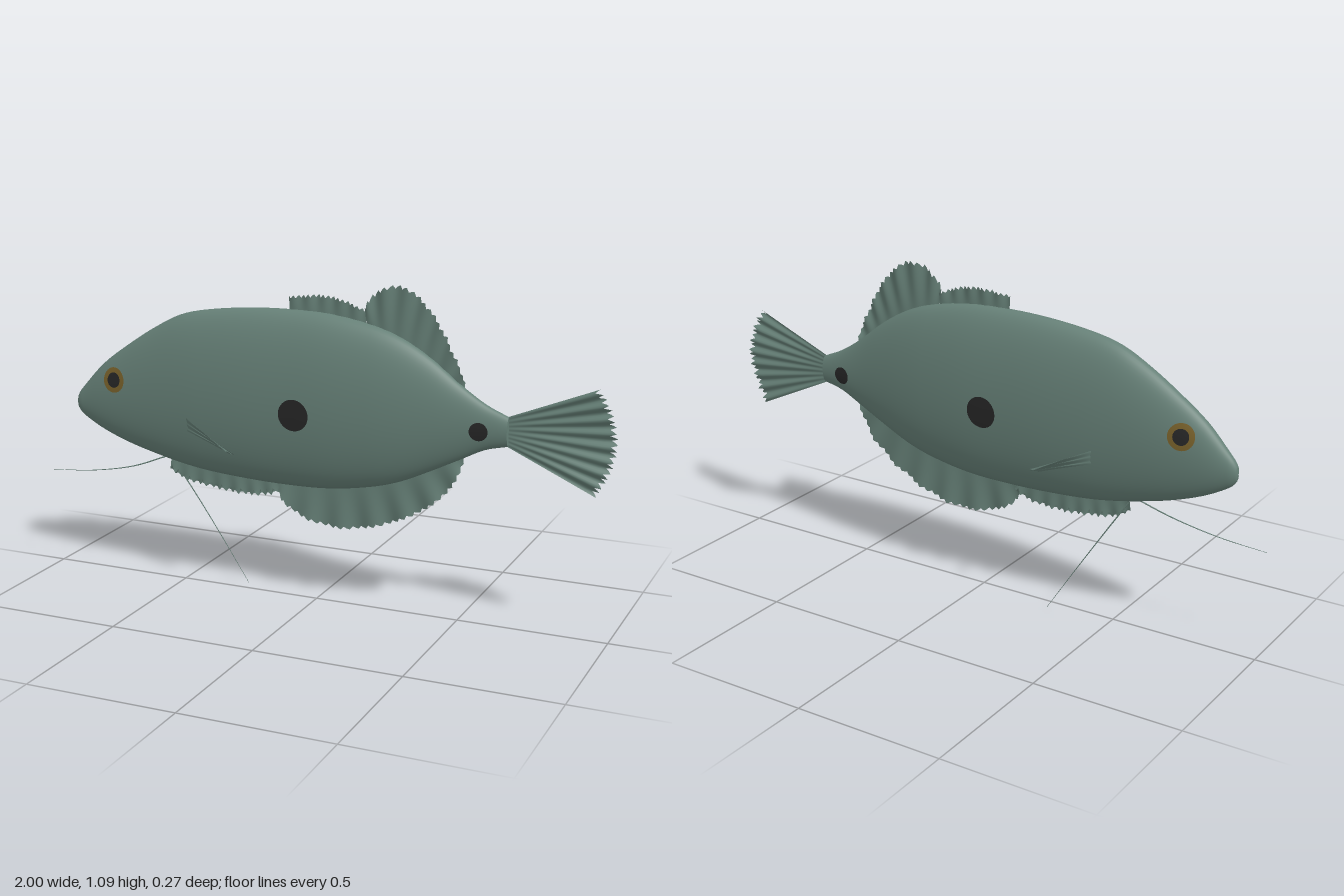
import * as THREE from 'three';

const mat = (name, color, side = THREE.FrontSide) => {
  const m = new THREE.MeshStandardMaterial({ color, side });
  m.name = name;
  return m;
};

// Body stations: x, top y, bottom y, half width
const STATIONS = [
  [-0.91, 0.602, 0.598, 0.002], [-0.905, 0.627, 0.575, 0.013], [-0.88, 0.66, 0.55, 0.024],
  [-0.8, 0.745, 0.507, 0.042], [-0.7, 0.82, 0.47, 0.056], [-0.6, 0.885, 0.443, 0.067],
  [-0.5, 0.937, 0.421, 0.076], [-0.4, 0.962, 0.406, 0.083], [-0.25, 0.98, 0.395, 0.089],
  [-0.1, 0.986, 0.391, 0.09], [0.05, 0.981, 0.396, 0.089], [0.2, 0.955, 0.42, 0.08],
  [0.3, 0.92, 0.45, 0.069], [0.4, 0.862, 0.496, 0.054], [0.5, 0.785, 0.546, 0.038],
  [0.58, 0.733, 0.586, 0.028], [0.655, 0.7, 0.605, 0.021],
];

// Smooth section of the body at x
function section(x) {
  let i = 0;
  while (i < STATIONS.length - 2 && x > STATIONS[i + 1][0]) i++;
  const at = (k) => STATIONS[Math.min(Math.max(k, 0), STATIONS.length - 1)];
  const [p, a, b, q] = [at(i - 1), at(i), at(i + 1), at(i + 2)];
  const h = b[0] - a[0], t = (x - a[0]) / h;
  const v = [1, 2, 3].map((k) => {
    const m0 = (b[k] - p[k]) / (b[0] - p[0]) * h, m1 = (q[k] - a[k]) / (q[0] - a[0]) * h;
    return (2 * t ** 3 - 3 * t * t + 1) * a[k] + (t ** 3 - 2 * t * t + t) * m0
      + (3 * t * t - 2 * t ** 3) * b[k] + (t ** 3 - t * t) * m1;
  });
  return { cy: (v[0] + v[1]) / 2, ry: (v[0] - v[1]) / 2, rz: v[2] };
}

function surfaceZ(x, y) {
  const { cy, ry, rz } = section(x);
  return rz * Math.sqrt(Math.max(0, 1 - ((y - cy) / ry) ** 2));
}

function geometry(pos, index) {
  const g = new THREE.BufferGeometry();
  g.setAttribute('position', new THREE.Float32BufferAttribute(pos, 3));
  g.setIndex(index);
  g.computeVertexNormals();
  return g;
}

// Sheet of cols x rows points given by fn(u, v)
function sheet(cols, rows, fn) {
  const pos = [], index = [];
  for (let i = 0; i <= cols; i++)
    for (let j = 0; j <= rows; j++) {
      pos.push(...fn(i / cols, j / rows, i));
      if (i < cols && j < rows) {
        const a = i * (rows + 1) + j, b = a + rows + 1;
        index.push(a, b, a + 1, b, b + 1, a + 1);
      }
    }
  return geometry(pos, index);
}

function bodyGeometry() {
  const pos = [], index = [], seg = 64, xs = [];
  STATIONS.forEach(([x], i) => {
    if (!i) return xs.push(x);
    const x0 = STATIONS[i - 1][0];
    for (let k = 1; k <= 4; k++) xs.push(x0 + (x - x0) * k / 4);
  });
  xs.forEach((x, i) => {
    const { cy, ry, rz } = section(x);
    for (let j = 0; j < seg; j++) {
      const a = j / seg * Math.PI * 2;
      pos.push(x, cy + ry * Math.cos(a), rz * Math.sin(a));
      if (i < xs.length - 1) {
        const p = i * seg + j, q = i * seg + (j + 1) % seg;
        index.push(p, q, p + seg, q, q + seg, p + seg);
      }
    }
  });
  return geometry(pos, index);
}

// Rippled fin between a base line and an outer edge with a ragged rim
function finGeometry(base, outer, { cols = 60, teeth = 0.012, rays = 7, ripple = 0.009 }) {
  const curve = (pts) => new THREE.CatmullRomCurve3(pts.map(([x, y]) => new THREE.Vector3(x, y, 0)));
  const b = curve(base), o = curve(outer);
  return sheet(cols, 8, (u, v, i) => {
    const p = b.getPointAt(u), e = o.getPointAt(u), d = e.clone().sub(p);
    const cut = i % 3 === 1 ? teeth : i % 3 === 2 ? teeth * 0.4 : 0;
    p.addScaledVector(d, v * (1 - (v === 1 ? cut / Math.max(d.length(), 0.05) : 0)));
    const z = ripple * v * (Math.sin(u * Math.PI * 2 * rays) * 0.7 + 0.4 * Math.sin(u * 9 + 1));
    return [p.x, p.y, z];
  });
}

// Thin ring or disc laid on the flank
const patchGeometry = (cx, cy, r0, r1, lift, s) => sheet(40, 4, (u, v) => {
  const a = -s * u * Math.PI * 2, r = r0 + (r1 - r0) * v;
  const x = cx + r * Math.cos(a), y = cy + r * Math.sin(a);
  return [x, y, s * (surfaceZ(x, y) + lift)];
});

// Hair-thin tapering ray
function filamentGeometry(points, radius) {
  const curve = new THREE.CatmullRomCurve3(points.map((p) => new THREE.Vector3(...p)));
  const g = new THREE.TubeGeometry(curve, 30, radius, 5), pos = g.attributes.position;
  for (let i = 0; i < pos.count; i++) {
    const t = Math.floor(i / 6) / 30, c = curve.getPointAt(t);
    const p = new THREE.Vector3().fromBufferAttribute(pos, i).sub(c).multiplyScalar(1 - 0.75 * t).add(c);
    pos.setXYZ(i, p.x, p.y, p.z);
  }
  return g;
}

export function createModel() {
  const group = new THREE.Group();
  const skin = mat('greyGreenSkin', 0x668077);
  const fin = mat('greyGreenFin', 0x668077, THREE.DoubleSide);
  const dark = mat('darkSpot', 0x262626, THREE.DoubleSide);
  const gold = mat('goldIris', 0x77602a, THREE.DoubleSide);
  const add = (name, geo, material) => {
    const m = new THREE.Mesh(geo, material);
    m.name = name;
    group.add(m);
    return m;
  };

  add('body', bodyGeometry(), skin);
  const cap = add('tailStalkEnd', new THREE.CircleGeometry(1, 32), skin);
  cap.rotation.y = Math.PI / 2;
  cap.scale.set(0.021, 0.0475, 1);
  cap.position.set(0.655, 0.6525, 0);

  // Fins on the midline
  add('frontDorsalFin', finGeometry(
    [[-0.095, 0.97], [0.17, 0.95]],
    [[-0.097, 1.03], [-0.05, 1.036], [0.02, 1.042], [0.1, 1.03], [0.175, 1.0]], { cols: 48, rays: 5, ripple: 0.006 }), fin);
  add('rearDorsalFin', finGeometry(
    [[0.175, 0.95], [0.3, 0.89], [0.4, 0.84], [0.5, 0.76]],
    [[0.168, 1.01], [0.19, 1.05], [0.24, 1.083], [0.3, 1.088], [0.36, 1.05], [0.42, 0.98], [0.47, 0.89], [0.505, 0.81], [0.508, 0.77]], { cols: 66 }), fin);
  add('bellyFin', finGeometry(
    [[-0.545, 0.44], [-0.35, 0.42], [-0.13, 0.42]],
    [[-0.55, 0.395], [-0.5, 0.363], [-0.4, 0.345], [-0.28, 0.335], [-0.17, 0.345], [-0.12, 0.37]], { cols: 54, teeth: 0.022, ripple: 0.006 }), fin);
  add('analFin', finGeometry(
    [[-0.13, 0.42], [0.1, 0.43], [0.3, 0.48], [0.5, 0.58]],
    [[-0.14, 0.36], [-0.11, 0.315], [-0.03, 0.275], [0.08, 0.258], [0.2, 0.277], [0.32, 0.325], [0.42, 0.39], [0.49, 0.475], [0.515, 0.56]], { cols: 84, teeth: 0.01 }), fin);
  add('tailFin', finGeometry(
    [[0.65, 0.7], [0.65, 0.605]],
    [[0.94, 0.817], [0.975, 0.76], [0.992, 0.7], [1.0, 0.64], [0.985, 0.56], [0.94, 0.472]], { cols: 60, teeth: 0.02, rays: 8, ripple: 0.01 }), fin);

  for (const [side, s] of [['left', -1], ['right', 1]].map(([n, v]) => [n, v])) {
    // Twisted pectoral fin sweeping back and out
    add(side + 'PectoralFin', sheet(18, 10, (u, v) => {
      const fold = 0.005 * v * Math.sin(u * Math.PI * 5);
      const round = 0.02 * (2 * u - 1) ** 2 * v;
      const x = -0.465 + (0.215 - round) * v;
      const y = THREE.MathUtils.lerp(0.612 - 0.05 * u, 0.518 - 0.016 * u, v) + fold;
      const z = THREE.MathUtils.lerp(0.064, 0.134 - 0.034 * u, Math.sqrt(v) * 0.4 + v * 0.6);
      return [x, y, s * (z + fold)];
    }), fin);
    add(side + 'Iris', patchGeometry(-0.737, 0.7, 0.024, 0.043, 0.002, s), gold);
    add(side + 'Pupil', patchGeometry(-0.737, 0.7, 0, 0.026, 0.003, s), dark);
    add(side + 'FlankSpot', patchGeometry(-0.045, 0.655, 0, 0.053, 0.002, s), dark);
    add(side + 'TailSpot', patchGeometry(0.565, 0.65, 0, 0.03, 0.002, s), dark);
  }

  // Long trailing rays under the throat
  add('forwardFilament', filamentGeometry(
    [[-0.56, 0.44, 0.01], [-0.68, 0.396, 0.028], [-0.84, 0.364, 0.036], [-1, 0.35, 0.04]], 0.0025), fin);
  add('rearFilament', filamentGeometry(
    [[-0.55, 0.43, -0.015], [-0.46, 0.29, -0.031], [-0.37, 0.15, -0.039], [-0.275, 0.001, -0.043]], 0.0025), fin);
  return group;
}
